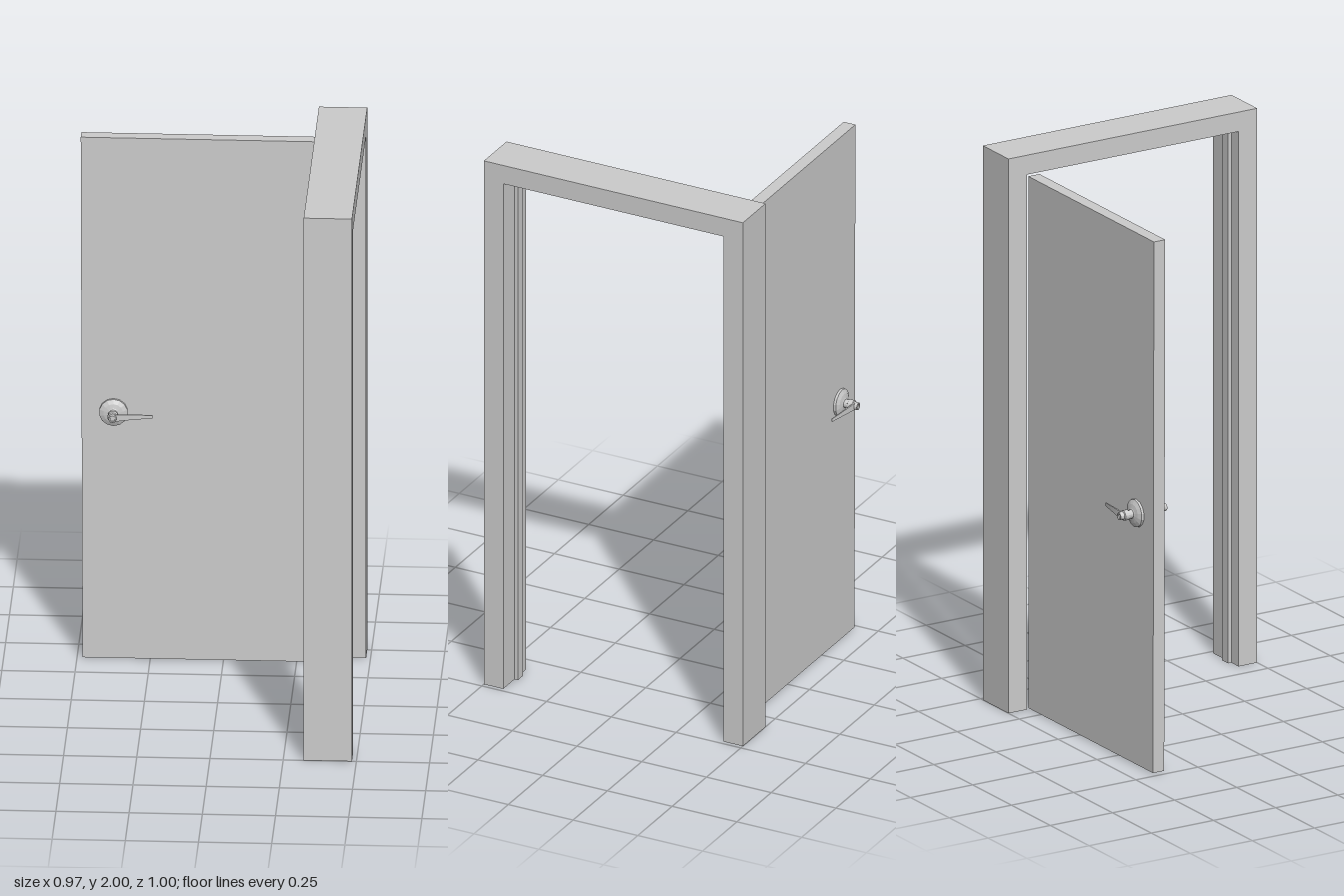
import * as THREE from 'three';

const material = new THREE.MeshStandardMaterial({ color: 0xcccccc, flatShading: true });

function mesh(name, geometry) {
  const m = new THREE.Mesh(geometry, material);
  m.name = name;
  return m;
}

// Upside-down U standing on the floor, extruded along x from x0 to x1
function portal(name, outer, outerTop, inner, innerTop, x0, x1) {
  const shape = new THREE.Shape([
    [-outer, 0], [-inner, 0], [-inner, innerTop], [inner, innerTop],
    [inner, 0], [outer, 0], [outer, outerTop], [-outer, outerTop],
  ].map(([a, b]) => new THREE.Vector2(a, b)));
  const g = new THREE.ExtrudeGeometry(shape, { depth: x1 - x0, bevelEnabled: false });
  g.rotateY(Math.PI / 2);
  g.translate(x0, 0, 0);
  return mesh(name, g);
}

// Lever blade: thin tapering bar that curves back towards the door
function leverGeometry() {
  const length = 0.135, steps = 8;
  const g = new THREE.BoxGeometry(length, 1, 1, steps, 1, 1);
  const p = g.attributes.position;
  for (let i = 0; i < p.count; i++) {
    const t = p.getX(i) / length + 0.5;
    const height = 0.026 - 0.015 * t;
    const thick = 0.006 - 0.003 * t;
    p.setXYZ(i, t * length,
      p.getY(i) * height + 0.003 * Math.sin(t * Math.PI),
      p.getZ(i) * thick + 0.058 - 0.002 * t - 0.016 * t * t);
  }
  g.computeVertexNormals();
  return g;
}

// One handle, built outwards along +z from the door face
function handle(name) {
  const group = new THREE.Group();
  group.name = name;
  const profile = [
    [0, 0], [0.049, 0], [0.049, 0.009], [0.034, 0.016], [0.019, 0.019],
    [0.015, 0.021], [0.015, 0.034], [0.018, 0.036], [0.018, 0.054],
    [0.014, 0.056], [0.013, 0.071], [0.009, 0.071], [0.008, 0.067], [0, 0.067],
  ].map(([r, y]) => new THREE.Vector2(r, y));
  const rose = new THREE.LatheGeometry(profile, 14);
  rose.rotateX(Math.PI / 2);
  group.add(mesh('roseAndSpindle', rose), mesh('lever', leverGeometry()));
  return group;
}

export function createModel() {
  const model = new THREE.Group();
  model.name = 'openDoor';

  // Frame and the raised stop running round its opening
  model.add(portal('doorFrame', 0.5, 2, 0.425, 1.93, 0.32, 0.485));
  model.add(portal('doorStop', 0.43, 1.935, 0.412, 1.924, 0.366, 0.404));

  // Door leaf, swung fully open, its free edge very slightly out of square
  const back = -0.419, front = -0.374, hinge = 0.322;
  const leaf = new THREE.Shape([
    [-0.481, 0.004], [hinge, 0.004], [hinge, 1.922], [-0.487, 1.922],
  ].map(([x, y]) => new THREE.Vector2(x, y)));
  const leafGeometry = new THREE.ExtrudeGeometry(leaf, { depth: front - back, bevelEnabled: false });
  leafGeometry.translate(0, 0, back);
  model.add(mesh('doorLeaf', leafGeometry));

  // Matching handles on both faces, levers pointing to the hinge side
  const frontHandle = handle('frontHandle');
  frontHandle.position.set(-0.375, 0.912, front);
  const backHandle = handle('backHandle');
  backHandle.position.set(-0.375, 0.912, back);
  backHandle.scale.z = -1;
  model.add(frontHandle, backHandle);

  return model;
}
